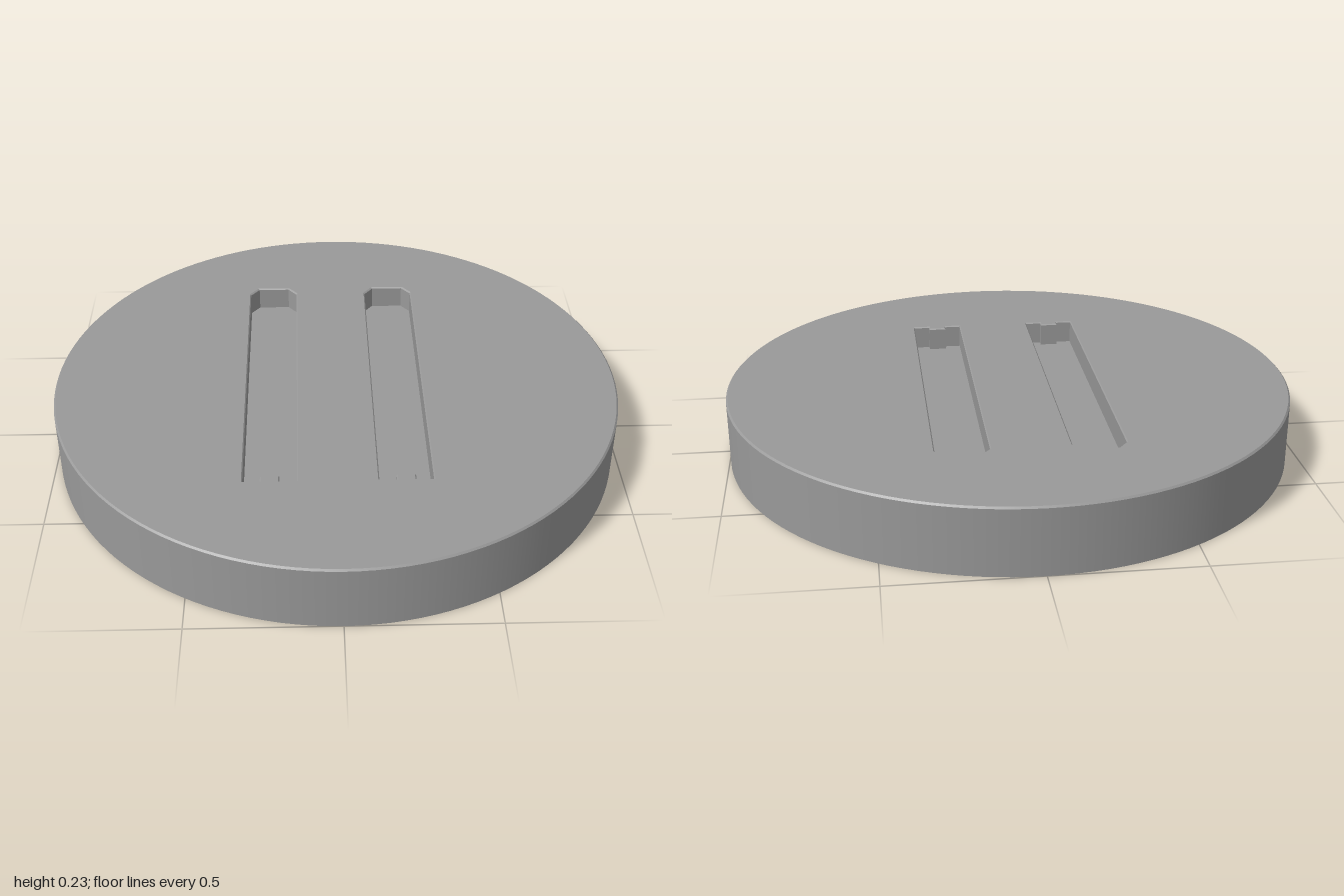
import * as THREE from 'three';

const HEIGHT = 0.235, BEVEL = 0.006, LIP = 0.004, DEPTH = 0.085, SIDES = 128;
const material = new THREE.MeshStandardMaterial({ color: 0x999999, side: THREE.DoubleSide });

function addMesh(parent, geometry, name) {
  const mesh = new THREE.Mesh(geometry, material);
  mesh.name = name;
  parent.add(mesh);
}

// Slot outline in plan (x, -z), grown by g: chamfered back corners, small key notch at the front
function slotOutline(cx, g) {
  const w = 0.089 + g, back = 0.62 + g, front = -0.573 - g, key = 0.032 - g;
  return [
    [-w, front], [-key, front], [-key, front + 0.024], [key, front + 0.024],
    [key, front], [w, front], [w, back - 0.04], [w - 0.032, back],
    [-w + 0.032, back], [-w, back - 0.04],
  ].map(([x, y]) => new THREE.Vector2(cx + x, y));
}

// Flat horizontal sheet facing up
function sheet(shape, y) {
  return new THREE.ShapeGeometry(shape).rotateX(-Math.PI / 2).translate(0, y, 0);
}

// Flat-faced band between a lower and an upper outline, facing into the slot
function band(lower, y0, upper, y1) {
  const pos = [];
  lower.forEach((a, i) => {
    const j = (i + 1) % lower.length;
    const b = lower[j], c = upper[j], d = upper[i];
    const A = [a.x, y0, -a.y], B = [b.x, y0, -b.y];
    const C = [c.x, y1, -c.y], D = [d.x, y1, -d.y];
    pos.push(...A, ...C, ...B, ...A, ...D, ...C);
  });
  const g = new THREE.BufferGeometry();
  g.setAttribute('position', new THREE.Float32BufferAttribute(pos, 3));
  g.computeVertexNormals();
  return g;
}

export function createModel() {
  const group = new THREE.Group();
  group.name = 'slottedCap';

  // Thin side wall, open at the bottom, with a fine bevel at the top edge
  const ring = (r0, y0, r1, y1) =>
    new THREE.LatheGeometry([new THREE.Vector2(r0, y0), new THREE.Vector2(r1, y1)], SIDES);
  addMesh(group, ring(1, 0, 1, HEIGHT - BEVEL), 'sideWall');
  addMesh(group, ring(1, HEIGHT - BEVEL, 1 - BEVEL, HEIGHT), 'edgeBevel');

  // Top plate outline; the slots cut their openings into it
  const rim = Array.from({ length: SIDES }, (_, i) => {
    const a = (i / SIDES) * Math.PI * 2;
    return new THREE.Vector2(Math.cos(a), Math.sin(a)).multiplyScalar(1 - BEVEL);
  });
  const plate = new THREE.Shape(rim);

  // Recessed slots, each with a bevelled lip, walls and a closed floor
  [-0.23, 0.216].forEach((cx, i) => {
    const inner = slotOutline(cx, 0), outer = slotOutline(cx, LIP);
    plate.holes.push(new THREE.Path(outer));
    const slot = new THREE.Group();
    slot.name = i ? 'leftSlot' : 'rightSlot';
    addMesh(slot, band(inner, HEIGHT - LIP, outer, HEIGHT), 'slotLip');
    addMesh(slot, band(inner, HEIGHT - DEPTH, inner, HEIGHT - LIP), 'slotWalls');
    addMesh(slot, sheet(new THREE.Shape(inner), HEIGHT - DEPTH), 'slotFloor');
    group.add(slot);
  });
  addMesh(group, sheet(plate, HEIGHT), 'topPlate');

  return group;
}
